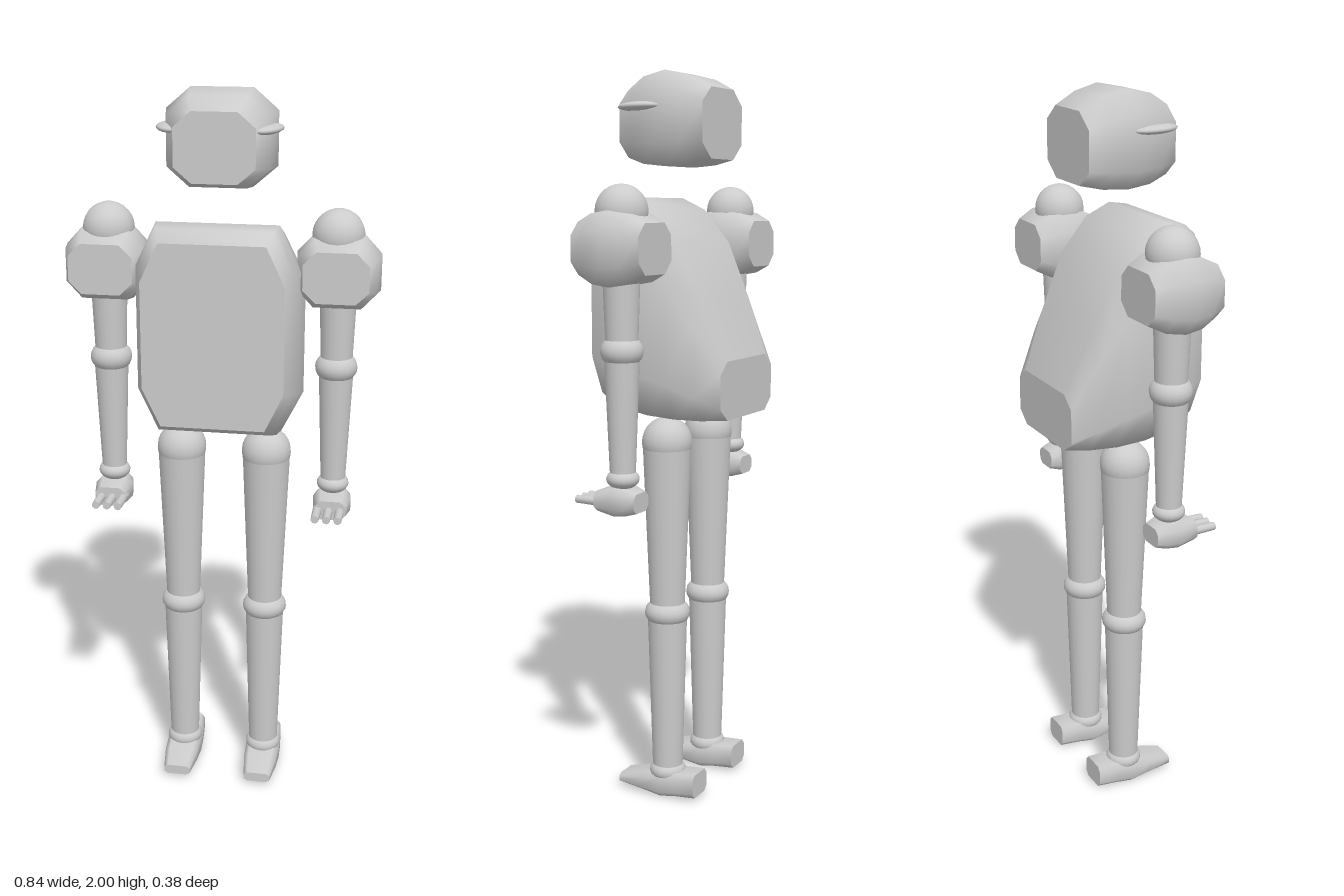
import * as THREE from 'three';

const material = new THREE.MeshStandardMaterial({ color: 0xcccccc, side: THREE.DoubleSide });

function add(parent, name, geometry, x = 0, y = 0, z = 0) {
  const mesh = new THREE.Mesh(geometry, material);
  mesh.name = name;
  mesh.position.set(x, y, z);
  parent.add(mesh);
  return mesh;
}

// Skin over chamfered sections [z, halfWidth, bottom, top], back to front, with flat end caps.
function loft(sections, cutX, cutY) {
  const ring = ([z, w, y0, y1]) => {
    const m = (y0 + y1) / 2, h = (y1 - y0) / 2, a = w * (1 - 2 * cutX), b = h * (1 - 2 * cutY);
    return [[w, -b], [w, b], [a, h], [-a, h], [-w, b], [-w, -b], [-a, -h], [a, -h]]
      .map(([x, y]) => [x, m + y, z]);
  };
  const rings = sections.map(ring), n = 8, last = rings.length - 1;
  const points = rings.flat(), index = [];
  for (let s = 0; s < last; s++) {
    for (let i = 0; i < n; i++) {
      const a = s * n + i, b = s * n + (i + 1) % n;
      index.push(a, b, a + n, b, b + n, a + n);
    }
  }
  const back = points.length, front = back + n;
  points.push(...rings[0], ...rings[last]);
  for (let i = 1; i < n - 1; i++) {
    index.push(back, back + i + 1, back + i, front, front + i, front + i + 1);
  }
  const g = new THREE.BufferGeometry();
  g.setAttribute('position', new THREE.Float32BufferAttribute(points.flat(), 3));
  g.setIndex(index);
  g.computeVertexNormals();
  return g;
}

const ball = (r, h = r) => new THREE.SphereGeometry(r, 20, 14).scale(1, h / r, 1);

// Tapered limb between two heights
function limb(parent, name, x, z, yTop, rTop, yBottom, rBottom) {
  add(parent, name, new THREE.CylinderGeometry(rTop, rBottom, yTop - yBottom, 20), x, (yTop + yBottom) / 2, z);
}

function buildArm(side) {
  const arm = new THREE.Group(), x = side * 0.31, z = 0.02;
  arm.name = side > 0 ? 'leftArm' : 'rightArm';
  add(arm, 'shoulderPad', loft([
    [-0.1, 0.083, -0.065, 0.065], [-0.055, 0.102, -0.087, 0.087], [0, 0.111, -0.096, 0.096],
    [0.05, 0.104, -0.089, 0.089], [0.097, 0.086, -0.067, 0.067],
  ], 0.2, 0.25), x, 1.538, z);
  add(arm, 'shoulderBall', ball(0.069), side * 0.306, 1.632, z);
  limb(arm, 'upperArm', x, z, 1.5, 0.05, 1.27, 0.042);
  add(arm, 'elbow', ball(0.057, 0.045), x, 1.275, z);
  limb(arm, 'forearm', x, z, 1.25, 0.046, 0.95, 0.034);
  add(arm, 'wrist', ball(0.044, 0.028), x, 0.94, z);

  add(arm, 'hand', loft([
    [-0.055, 0.038, -0.028, 0.024], [-0.025, 0.047, -0.036, 0.034],
    [0.01, 0.052, -0.039, 0.037], [0.065, 0.042, -0.03, 0.024],
  ], 0.18, 0.25), x, 0.883, z);
  for (const i of [-1, 0, 1]) {
    add(arm, 'finger', new THREE.CylinderGeometry(0.011, 0.013, 0.09, 10).rotateX(Math.PI / 2),
      side * 0.305 + i * 0.031, 0.878, 0.102);
  }
  return arm;
}

function buildLeg(side) {
  const leg = new THREE.Group(), x = side * 0.12, z = -0.006;
  leg.name = side > 0 ? 'leftLeg' : 'rightLeg';
  add(leg, 'hip', ball(0.069), x, 1.012, z);
  limb(leg, 'thigh', x, z, 1.012, 0.067, 0.54, 0.048);
  add(leg, 'knee', ball(0.063, 0.044), x, 0.532, z);
  limb(leg, 'shin', x, z, 0.52, 0.055, 0.07, 0.042);
  add(leg, 'ankle', ball(0.051, 0.034), x, 0.07, z);
  add(leg, 'foot', loft([
    [-0.108, 0.042, 0.012, 0.079], [-0.05, 0.048, 0.008, 0.073], [0, 0.05, 0, 0.07],
    [0.06, 0.048, 0.008, 0.058], [0.132, 0.038, 0.012, 0.04],
  ], 0.14, 0.22), x, 0, 0);
  return leg;
}

export function createModel() {
  const model = new THREE.Group();
  model.name = 'jointedFigure';

  // Torso leans from a tall chest to a low back
  add(model, 'torso', loft([
    [-0.187, 0.155, 1.082, 1.24], [-0.12, 0.188, 1.079, 1.4], [-0.05, 0.214, 1.081, 1.545],
    [0.03, 0.224, 1.088, 1.635], [0.1, 0.218, 1.1, 1.668], [0.15, 0.206, 1.115, 1.66], [0.189, 0.188, 1.138, 1.63],
  ], 0.13, 0.21));

  // Head floats above the torso
  add(model, 'head', loft([
    [-0.11, 0.115, 1.768, 1.953], [-0.05, 0.135, 1.755, 1.983], [0.02, 0.146, 1.75, 2],
    [0.09, 0.133, 1.757, 1.986], [0.147, 0.105, 1.775, 1.953],
  ], 0.22, 0.22));

  for (const side of [1, -1]) {
    // Thin blade on each side of the head
    const ear = add(model, 'ear', new THREE.SphereGeometry(1, 16, 10), side * 0.122, 1.905, 0.072);
    ear.scale.set(0.04, 0.013, 0.073);
    ear.rotation.y = -side * 0.2;
    model.add(buildArm(side), buildLeg(side));
  }
  return model;
}
